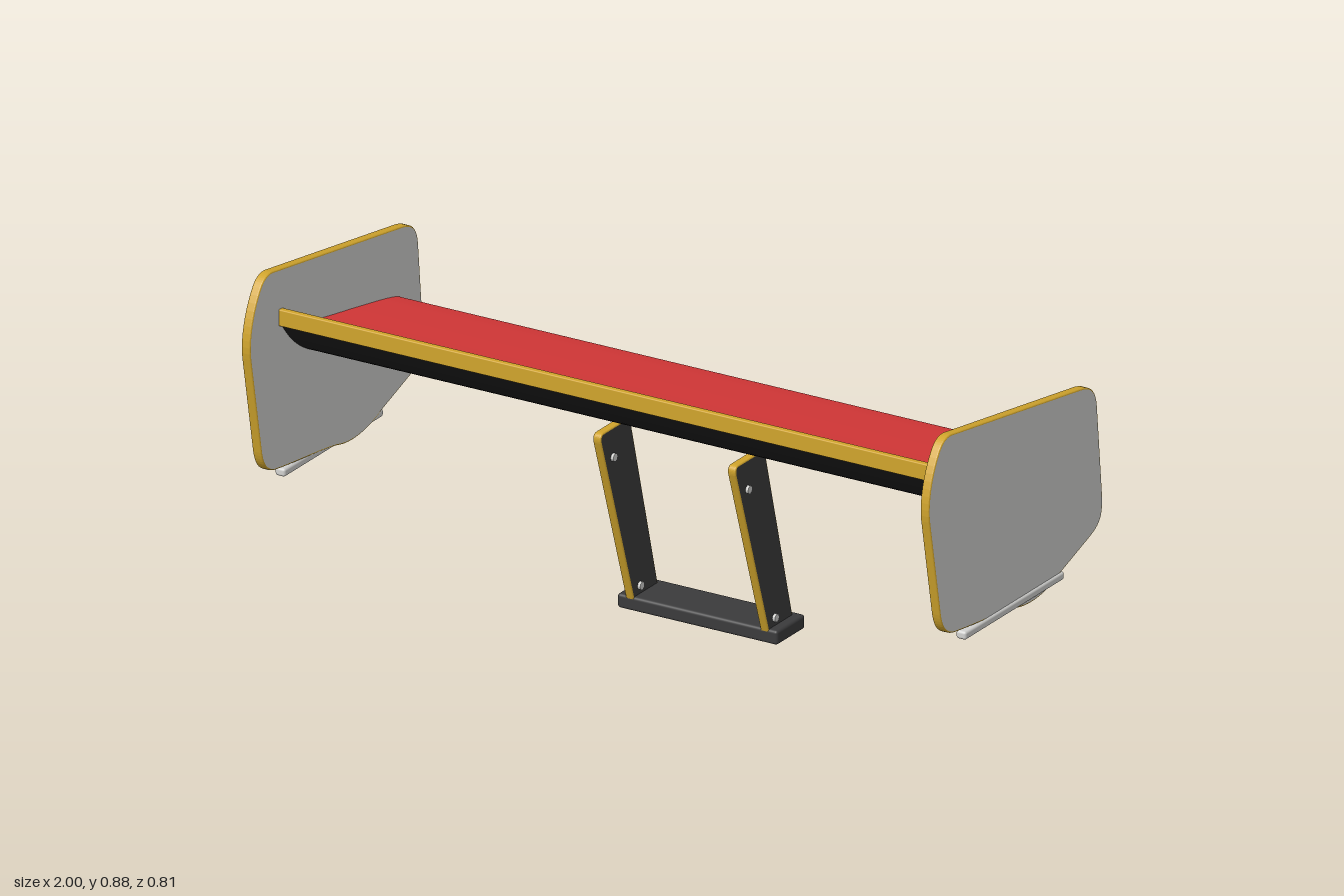
import * as THREE from 'three';
import { RoundedBoxGeometry } from 'three/addons/geometries/RoundedBoxGeometry.js';

const material = (name, color) => {
  const m = new THREE.MeshStandardMaterial({ color });
  m.name = name;
  return m;
};

export function createModel() {
  const red = material('red', 0xd83838);
  const black = material('black', 0x1c1c1c);
  const gold = material('gold', 0xd0a42c);
  const lightGrey = material('light grey', 0xd2d2d0);
  const darkGrey = material('dark grey', 0x3b3b3c);

  const model = new THREE.Group();
  model.name = 'rearWing';

  const add = (name, geometry, mat, x = 0, y = 0, z = 0) => {
    const mesh = new THREE.Mesh(geometry, mat);
    mesh.name = name;
    mesh.position.set(x, y, z);
    model.add(mesh);
    return mesh;
  };

  // Skin swept across the span along a smooth line of [z, y] points
  const skin = (points, half, steps) => {
    const curve = new THREE.CatmullRomCurve3(points.map(([z, y]) => new THREE.Vector3(0, y, z)));
    const pos = [], index = [];
    curve.getPoints(steps).forEach((p, i) => {
      pos.push(-half, p.y, p.z, half, p.y, p.z);
      if (i < steps) {
        const a = 2 * i;
        index.push(a, a + 2, a + 1, a + 1, a + 2, a + 3);
      }
    });
    const g = new THREE.BufferGeometry();
    g.setAttribute('position', new THREE.Float32BufferAttribute(pos, 3));
    g.setIndex(index);
    g.computeVertexNormals();
    return g;
  };

  // Flat plate lying in the side plane (shape x = -z), centred on its thickness
  const plate = (shape, thickness, bevel) => {
    const g = new THREE.ExtrudeGeometry(shape, {
      depth: thickness - 2 * bevel, bevelEnabled: true, bevelThickness: bevel,
      bevelSize: bevel, bevelOffset: -bevel, bevelSegments: 3, curveSegments: 10,
    });
    g.translate(0, 0, -thickness / 2 + bevel);
    g.rotateY(Math.PI / 2);
    return g;
  };

  // Wing: red top, grey band, black underside, gold lip
  const span = 0.975;
  add('wingTop', skin([[-0.302, 0.585], [-0.296, 0.6], [-0.27, 0.611], [-0.1, 0.645],
    [0.03, 0.668], [0.155, 0.692]], span, 28), red);
  add('wingBand', skin([[0.155, 0.692], [0.205, 0.706], [0.258, 0.726]], span, 8), lightGrey);
  add('wingUnderside', skin([[0.262, 0.726], [0.21, 0.668], [0.155, 0.627], [0.08, 0.592],
    [-0.04, 0.565], [-0.16, 0.556], [-0.27, 0.561], [-0.295, 0.57], [-0.302, 0.585]], span, 32), black);
  add('wingLip', new RoundedBoxGeometry(2 * span, 0.044, 0.017, 2, 0.003), gold, 0, 0.746, 0.262);

  // End plate outline
  const end = new THREE.Shape();
  end.moveTo(-0.3, 0.88);
  end.lineTo(0.3, 0.787);
  end.bezierCurveTo(0.35, 0.78, 0.375, 0.76, 0.38, 0.715);
  end.lineTo(0.404, 0.47);
  end.bezierCurveTo(0.408, 0.415, 0.395, 0.395, 0.35, 0.378);
  end.lineTo(0.21, 0.33);
  end.bezierCurveTo(0.14, 0.296, 0.06, 0.292, 0, 0.31);
  end.bezierCurveTo(-0.08, 0.325, -0.2, 0.333, -0.29, 0.347);
  end.bezierCurveTo(-0.33, 0.357, -0.345, 0.38, -0.353, 0.415);
  end.lineTo(-0.403, 0.68);
  end.bezierCurveTo(-0.412, 0.73, -0.395, 0.8, -0.355, 0.855);
  end.bezierCurveTo(-0.34, 0.875, -0.32, 0.882, -0.3, 0.88);
  const endGeometry = plate(end, 0.025, 0.004);
  const footGeometry = new RoundedBoxGeometry(0.029, 0.022, 0.462, 3, 0.007);

  // Strut outline: leaning blade with rounded top corners
  const strut = new THREE.Shape();
  strut.moveTo(0.239, 0.002);
  strut.lineTo(0.107, 0.5);
  strut.quadraticCurveTo(0.1, 0.525, 0.075, 0.525);
  strut.lineTo(-0.02, 0.525);
  strut.quadraticCurveTo(-0.042, 0.525, -0.036, 0.5);
  strut.lineTo(0.126, 0.002);
  strut.closePath();
  const strutGeometry = plate(strut, 0.023, 0.004);
  const boltGeometry = new THREE.CylinderGeometry(0.011, 0.011, 0.038, 8).rotateZ(Math.PI / 2);

  for (const [side, s] of [['left', 1], ['right', -1]]) {
    add(side + 'EndPlate', endGeometry, [lightGrey, gold], s * 0.9825);
    add(side + 'EndPlateFoot', footGeometry, lightGrey, s * 0.9855, 0.321, 0.011);
    add(side + 'Strut', strutGeometry, [darkGrey, gold], s * 0.195);
    add(side + 'LowerBolt', boltGeometry, lightGrey, s * 0.195, 0.06, -0.145);
    add(side + 'UpperBolt', boltGeometry, lightGrey, s * 0.195, 0.446, -0.02);
  }

  // Mounting base
  add('base', new RoundedBoxGeometry(0.464, 0.038, 0.132, 3, 0.008), darkGrey, 0, 0.019, -0.182);

  return model;
}
